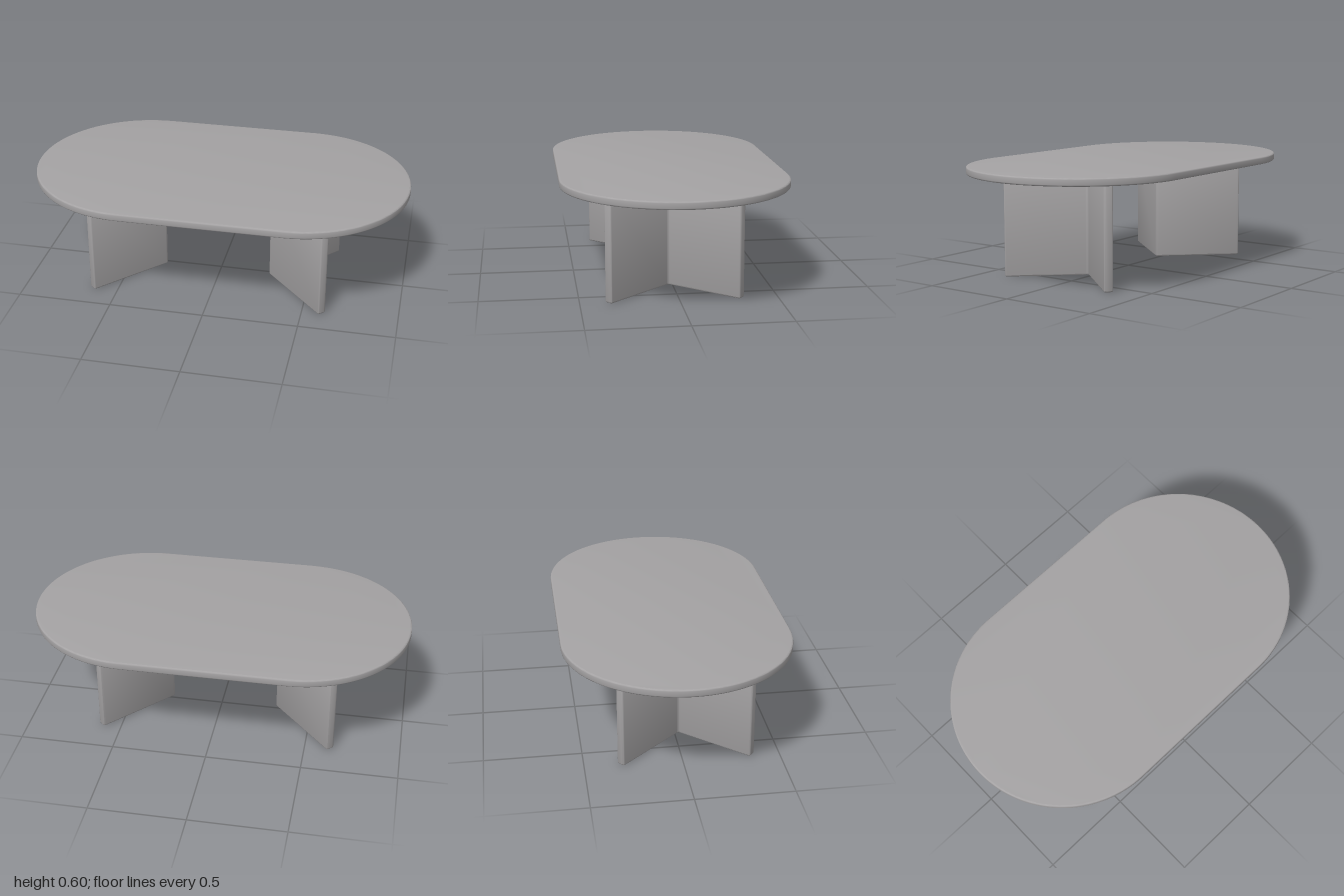
import * as THREE from 'three';
import { toCreasedNormals } from 'three/addons/utils/BufferGeometryUtils.js';

// Closed outline through corner points, each corner rounded by radius r
function roundedOutline(points, r) {
  const shape = new THREE.Shape();
  const n = points.length;
  points.forEach((p, i) => {
    const before = points[(i + n - 1) % n].clone().sub(p).setLength(r).add(p);
    const after = points[(i + 1) % n].clone().sub(p).setLength(r).add(p);
    if (i === 0) shape.moveTo(before.x, before.y);
    else shape.lineTo(before.x, before.y);
    shape.quadraticCurveTo(p.x, p.y, after.x, after.y);
  });
  shape.closePath();
  return shape;
}

// Upright slab of a plan outline (x, z) between two heights, with soft edges
function slab(shape, y0, y1, bevel, curveSegments) {
  const geometry = new THREE.ExtrudeGeometry(shape, {
    depth: y1 - y0 - 2 * bevel,
    bevelThickness: bevel,
    bevelSize: bevel,
    bevelOffset: -bevel,
    bevelSegments: 3,
    curveSegments,
  });
  geometry.rotateX(Math.PI / 2);
  geometry.translate(0, y1 - bevel, 0);
  return toCreasedNormals(geometry, 0.7);
}

export function createModel() {
  const model = new THREE.Group();
  model.name = 'coffeeTable';
  const grey = new THREE.MeshStandardMaterial({ color: 0xa4a2a3 });
  grey.name = 'warm grey';

  // Tabletop: straight long sides with semicircular ends
  const radius = 0.583, half = 1 - radius;
  const oval = new THREE.Shape();
  oval.moveTo(-half, -radius);
  oval.lineTo(half, -radius);
  oval.absarc(half, 0, radius, -Math.PI / 2, Math.PI / 2, false);
  oval.lineTo(-half, radius);
  oval.absarc(-half, 0, radius, Math.PI / 2, Math.PI * 1.5, false);
  const top = new THREE.Mesh(slab(oval, 0.555, 0.595, 0.008, 64), grey);
  top.name = 'tabletop';
  model.add(top);

  // V-shaped legs: the fold points to the table centre, the wings open outward
  const length = 0.478, thickness = 0.047, angle = 0.834;
  const along = new THREE.Vector2(Math.cos(angle), Math.sin(angle));
  const inward = new THREE.Vector2(along.y, -along.x).multiplyScalar(thickness);
  const tip = along.clone().multiplyScalar(length);
  const innerTip = tip.clone().add(inward);
  const fold = thickness / Math.sin(angle);

  for (const [name, side] of [['leftLeg', 1], ['rightLeg', -1]]) {
    const place = (x, z) => new THREE.Vector2(-0.015 + side * (0.284 + x), 0.021 + z);
    const corners = [
      place(0, 0),
      place(tip.x, -tip.y),
      place(innerTip.x, -innerTip.y),
      place(fold, 0),
      place(innerTip.x, innerTip.y),
      place(tip.x, tip.y),
    ];
    const leg = new THREE.Mesh(slab(roundedOutline(corners, 0.013), 0, 0.56, 0.008, 5), grey);
    leg.name = name;
    model.add(leg);
  }
  return model;
}
